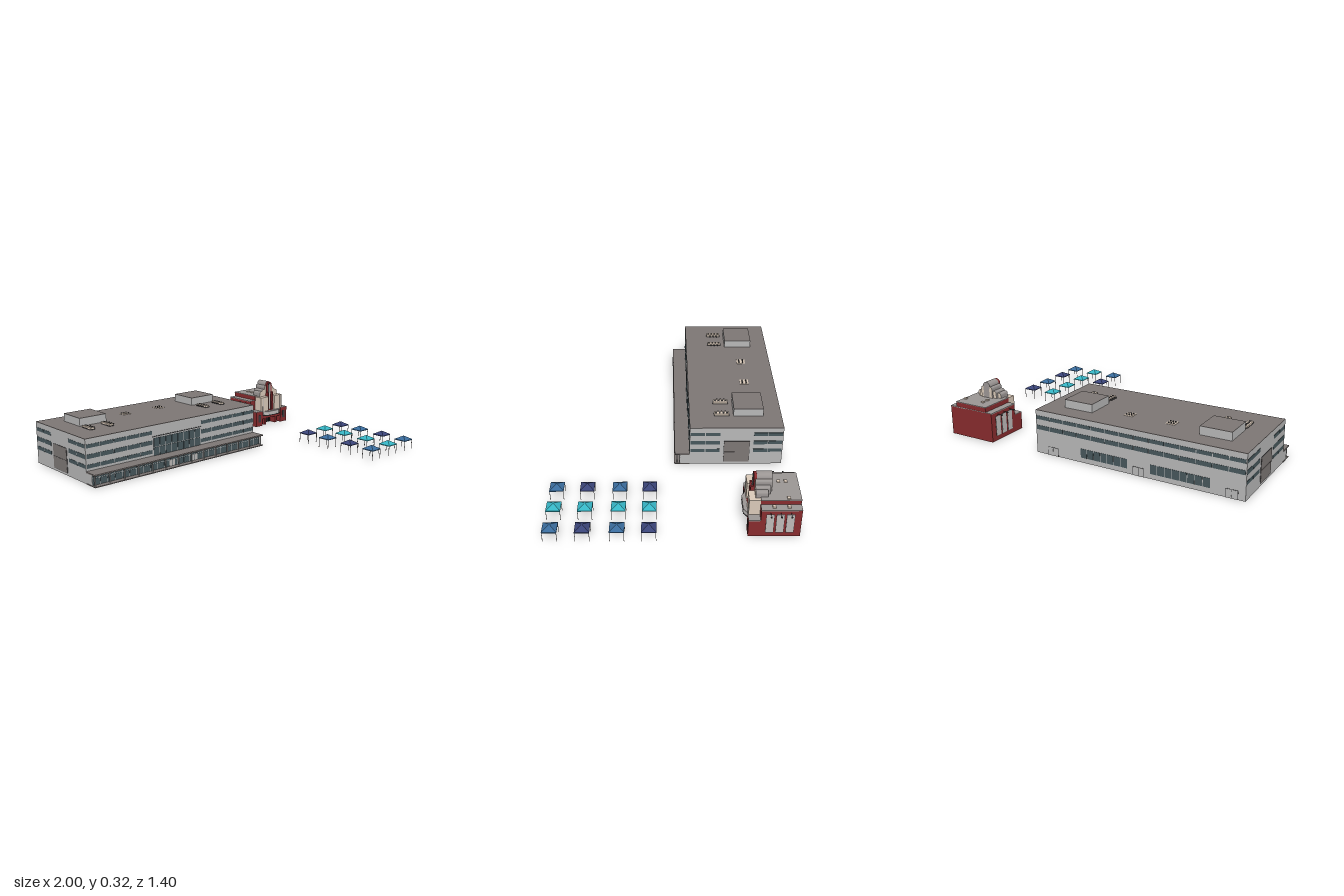
import * as THREE from 'three';

const mats = {};
const mat = (c) => (mats[c] ??= new THREE.MeshStandardMaterial({ color: c, flatShading: true }));
const WALL = 0xb6b6b6, ROOF = 0x7c7674, GLASS = 0x46565b, DARK = 0x3a3a3c, CREAM = 0xd8c8b8,
  RED = 0x862b2d, BLACK = 0x1c1a1a, STONE = 0x9a9593, PALE = 0xbdbab8;

function add(parent, name, geo, color) {
  const m = new THREE.Mesh(geo, mat(color));
  m.name = name;
  parent.add(m);
  return m;
}
// Box given by its limits on each axis
function box(parent, name, color, x0, x1, y0, y1, z0, z1) {
  const g = new THREE.BoxGeometry(x1 - x0, y1 - y0, z1 - z0);
  g.translate((x0 + x1) / 2, (y0 + y1) / 2, (z0 + z1) / 2);
  return add(parent, name, g, color);
}
function group(parent, name) {
  const g = new THREE.Group();
  g.name = name;
  parent.add(g);
  return g;
}
const ROWS = [[0.09, 0.113], [0.147, 0.173], [0.21, 0.232]];

// Row of panes along x, on a wall facing z
function panesX(p, x0, x1, y0, y1, z, n) {
  const w = (x1 - x0) / n;
  for (let i = 0; i < n; i++) box(p, 'window', GLASS, x0 + i * w + 0.002, x0 + (i + 1) * w - 0.002, y0, y1, z - 0.0015, z + 0.0015);
}
// Row of panes along z, on a wall facing x
function panesZ(p, z0, z1, y0, y1, x, n) {
  const w = (z1 - z0) / n;
  for (let i = 0; i < n; i++) box(p, 'window', GLASS, x - 0.0015, x + 0.0015, y0, y1, z0 + i * w + 0.002, z0 + (i + 1) * w - 0.002);
}

function officeBuilding(root) {
  const b = group(root, 'officeBuilding');
  const X0 = -0.997, X1 = 0.317, ZB = -0.68, ZF = -0.115;
  box(b, 'walls', WALL, X0, X1, 0, 0.263, ZB, ZF);
  box(b, 'roof', ROOF, X0, X1, 0.263, 0.266, ZB, ZF);

  // Window bands
  for (const [y0, y1] of ROWS) {
    panesX(b, -0.993, -0.53, y0, y1, ZF, 5);
    panesX(b, -0.15, 0.313, y0, y1, ZF, 5);
    for (const x of [X0, X1]) {
      panesZ(b, -0.30, -0.118, y0, y1, x, 2);
      panesZ(b, -0.677, -0.50, y0, y1, x, 2);
    }
  }
  for (const [y0, y1] of ROWS.slice(1)) panesX(b, -0.993, 0.313, y0, y1, ZB, 14);
  panesX(b, -0.80, -0.44, 0.03, 0.085, ZB, 8);
  panesX(b, -0.30, 0.01, 0.03, 0.085, ZB, 7);

  // Back doors
  for (const x of [-0.92, -0.37, 0.2]) {
    box(b, 'backDoorFrame', DARK, x - 0.036, x + 0.036, 0, 0.052, ZB - 0.001, ZB);
    for (const s of [-1, 1]) box(b, 'backDoor', WALL, x + s * 0.017 - 0.016, x + s * 0.017 + 0.016, 0, 0.05, ZB - 0.002, ZB);
  }

  // Tall central glazing with a head beam
  panesX(b, -0.525, -0.155, 0.075, 0.127, ZF + 0.002, 8);
  panesX(b, -0.525, -0.155, 0.131, 0.185, ZF + 0.002, 8);
  box(b, 'glazingBeam', DARK, -0.53, -0.15, 0.193, 0.197, ZF, ZF + 0.004);

  // Large side shutters
  for (const x of [X0, X1]) {
    box(b, 'shutterFrame', DARK, x - 0.002, x + 0.002, 0.015, 0.17, -0.48, -0.322);
    for (const [y0, y1] of [[0.017, 0.092], [0.095, 0.168]])
      box(b, 'shutter', ROOF, x - 0.003, x + 0.003, y0, y1, -0.478, -0.324);
  }

  // Ground floor shopfront under the canopy
  box(b, 'shopfrontCore', WALL, X0, X1, 0, 0.067, ZF, -0.057);
  panesX(b, X0, X1, 0.006, 0.045, -0.057, 26);
  panesX(b, X0, X1, 0.048, 0.064, -0.057, 26);
  for (const x of [-0.43, -0.25]) for (const s of [-1, 1])
    box(b, 'entranceDoor', PALE, x + s * 0.011 - 0.009, x + s * 0.011 + 0.009, 0.006, 0.046, -0.057, -0.054);
  box(b, 'walkway', ROOF, -1, 0.32, 0, 0.005, ZF, -0.022);
  box(b, 'canopy', ROOF, -1, 0.32, 0.067, 0.075, ZF, -0.025);
  for (let i = 0; i <= 13; i++) {
    const x = -0.99 + i * 0.1;
    box(b, 'canopyPost', WALL, x - 0.003, x + 0.003, 0.005, 0.067, -0.042, -0.036);
  }

  // Roof rooms
  for (const x of [-0.865, 0]) {
    box(b, 'roofRoom', WALL, x, x + 0.187, 0.266, 0.314, -0.567, -0.385);
    box(b, 'roofRoomTop', ROOF, x, x + 0.187, 0.314, 0.316, -0.567, -0.385);
  }
  // Air handling units with side pipes
  for (const [x, s] of [[-0.85, 1], [-0.718, 1], [0.037, -1], [0.172, -1]]) {
    const u = group(b, 'airUnit');
    box(u, 'unitBase', DARK, x - 0.016, x + 0.016, 0.266, 0.27, -0.36, -0.265);
    box(u, 'unitCase', CREAM, x - 0.015, x + 0.015, 0.27, 0.279, -0.358, -0.267);
    for (let i = 0; i < 4; i++) {
      const z = -0.345 + i * 0.022;
      add(u, 'unitFan', new THREE.CylinderGeometry(0.006, 0.006, 0.003, 8), DARK).position.set(x, 0.28, z);
      if (i < 3) box(u, 'unitPipe', DARK, Math.min(x, x + s * 0.032), Math.max(x, x + s * 0.032), 0.27, 0.275, z + 0.005, z + 0.012);
    }
  }
  // Flat vent blocks
  for (const x of [-0.473, -0.205]) {
    const v = group(b, 'roofVent');
    box(v, 'ventPlate', CREAM, x - 0.028, x + 0.028, 0.266, 0.268, -0.511, -0.456);
    for (const dx of [-0.016, 0, 0.016]) for (const z of [-0.496, -0.471])
      add(v, 'ventCap', new THREE.CylinderGeometry(0.004, 0.004, 0.006, 8), DARK).position.set(x + dx, 0.271, z);
  }
}

function cinema(root) {
  const c = group(root, 'cinema');
  c.position.x = 0.8;
  // Main hall and set-in upper storey
  box(c, 'hall', RED, -0.16, 0.16, 0, 0.183, -0.70, -0.48);
  box(c, 'hallLedge', STONE, -0.162, 0.162, 0.18, 0.186, -0.70, -0.48);
  box(c, 'upperHall', RED, -0.115, 0.115, 0.183, 0.214, -0.698, -0.48);
  box(c, 'hallRoof', STONE, -0.117, 0.117, 0.214, 0.218, -0.70, -0.48);

  // Side panels, lamps and front corner blocks
  for (const s of [-1, 1]) {
    const bx = (name, col, a, d, ...r) => box(c, name, col, Math.min(s * a, s * d), Math.max(s * a, s * d), ...r);
    for (const z of [-0.64, -0.585, -0.53]) {
      bx('panelFrame', DARK, 0.158, 0.161, 0.028, 0.157, z - 0.022, z + 0.022);
      bx('sidePanel', PALE, 0.158, 0.162, 0.03, 0.155, z - 0.02, z + 0.02);
      bx('lampArm', DARK, 0.16, 0.193, 0.165, 0.167, z - 0.001, z + 0.001);
      bx('lampHead', DARK, 0.188, 0.196, 0.161, 0.168, z - 0.004, z + 0.004);
    }
    bx('cornerBlock', RED, 0.095, 0.16, 0, 0.108, -0.48, -0.415);
    bx('cornerCap', STONE, 0.095, 0.16, 0.108, 0.112, -0.48, -0.415);
    bx('cornerWindow', DARK, 0.115, 0.14, 0.03, 0.085, -0.416, -0.4135);
    bx('creamShoulder', CREAM, 0.03, 0.11, 0.1, 0.212, -0.48, -0.418);
    bx('creamFlute', PALE, 0.088, 0.092, 0.1, 0.212, -0.418, -0.415);
    // Stepped crown beside the fin, rounded at the shoulders
    for (const [x0, x1, h, zb] of [[0.066, 0.09, 0.25, -0.52], [0.042, 0.066, 0.263, -0.535], [0.02, 0.042, 0.29, -0.545]]) {
      const r = 0.014, sh = new THREE.Shape();
      sh.moveTo(x0, 0.2);
      sh.lineTo(x1, 0.2);
      sh.lineTo(x1, h - r);
      sh.quadraticCurveTo(x1, h, x1 - r, h);
      sh.lineTo(x0, h);
      const g = new THREE.ExtrudeGeometry(sh, { depth: -0.453 - zb, bevelEnabled: false, curveSegments: 4 });
      g.translate(0, 0, zb);
      const m = add(c, 'crownStep', g, STONE);
      m.material = [mat(CREAM), mat(STONE)];
      if (s < 0) m.rotation.y = Math.PI, m.position.z = zb - 0.453;
    }
  }

  // Round-topped red fin with a glazed strip
  const arch = (w, y0, y1, z0, z1, name, col) => {
    const sh = new THREE.Shape();
    sh.moveTo(-w, y0);
    sh.lineTo(w, y0);
    sh.lineTo(w, y1 - w);
    sh.absarc(0, y1 - w, w, 0, Math.PI, false);
    const g = new THREE.ExtrudeGeometry(sh, { depth: z1 - z0, bevelEnabled: false, curveSegments: 8 });
    g.translate(0, 0, z0);
    add(c, name, g, col);
  };
  arch(0.027, 0.1, 0.319, -0.545, -0.46, 'towerCore', STONE);
  arch(0.027, 0.1, 0.317, -0.46, -0.445, 'towerFin', RED);
  arch(0.013, 0.1, 0.31, -0.445, -0.442, 'towerTrim', DARK);
  arch(0.008, 0.1, 0.30, -0.442, -0.44, 'towerGlass', PALE);
  for (const s of [-1, 1]) box(c, 'lowerFin', RED, s * 0.021 - 0.006, s * 0.021 + 0.006, 0.1, 0.24, -0.48, -0.43);

  // Recessed entrance and marquee
  box(c, 'entranceLintel', RED, -0.095, 0.095, 0.05, 0.108, -0.48, -0.42);
  for (let i = 0; i < 6; i++) {
    const x = -0.078 + i * 0.0312;
    box(c, 'entranceDoor', BLACK, x - 0.013, x + 0.013, 0, 0.045, -0.481, -0.477);
  }
  for (const x of [-0.055, 0.055]) box(c, 'ticketPier', RED, x - 0.008, x + 0.008, 0, 0.05, -0.48, -0.425);
  const marquee = (k, y, h, name, col) => {
    const sh = new THREE.Shape([[-0.086, 0.44], [0.086, 0.44], [0.086, 0.415], [0.058, 0.395], [-0.058, 0.395], [-0.086, 0.415]]
      .map(([x, z]) => new THREE.Vector2(x * k, z + (1 - k) * 0.05)));
    const g = new THREE.ExtrudeGeometry(sh, { depth: h, bevelEnabled: false });
    g.rotateX(-Math.PI / 2);
    add(c, name, g, col).position.y = y;
  };
  marquee(1, 0.072, 0.006, 'marqueeBase', DARK);
  marquee(0.98, 0.078, 0.022, 'marqueeSign', PALE);
  marquee(1, 0.1, 0.006, 'marqueeTop', STONE);

  // Small roof units
  for (const [x, z] of [[-0.04, -0.63], [0.1, -0.63], [-0.04, -0.59]])
    box(c, 'roofUnit', CREAM, x - 0.01, x + 0.01, 0.218, 0.224, z - 0.009, z + 0.009);
  for (const z of [-0.63, -0.55]) box(c, 'ledgeUnit', CREAM, 0.127, 0.145, 0.186, 0.196, z - 0.009, z + 0.009);
}

function shadeTent(root, x, z, color) {
  const t = group(root, 'shadeTent');
  t.position.set(x, 0, z);
  // Square pyramid over a low valance
  const cover = new THREE.CylinderGeometry(0.004, 0.058, 0.022, 4, 1);
  cover.rotateY(Math.PI / 4);
  add(t, 'tentCover', cover, color).position.y = 0.077;
  box(t, 'tentValance', color, -0.041, 0.041, 0.061, 0.066, -0.041, 0.041);
  for (const sx of [-1, 1]) for (const sz of [-1, 1])
    box(t, 'tentLeg', STONE, sx * 0.039 - 0.0013, sx * 0.039 + 0.0013, 0, 0.062, sz * 0.039 - 0.0013, sz * 0.039 + 0.0013);
}

export function createModel() {
  const root = new THREE.Group();
  root.name = 'shoppingPlaza';
  officeBuilding(root);
  cinema(root);
  [0.122, 0.295, 0.482, 0.658].forEach((z, i) => {
    for (const x of [0.613, 0.785, 0.957]) shadeTent(root, x, z, x === 0.785 ? 0x36b4c4 : i % 2 ? 0x3a6c9c : 0x3a4478);
  });
  return root;
}
